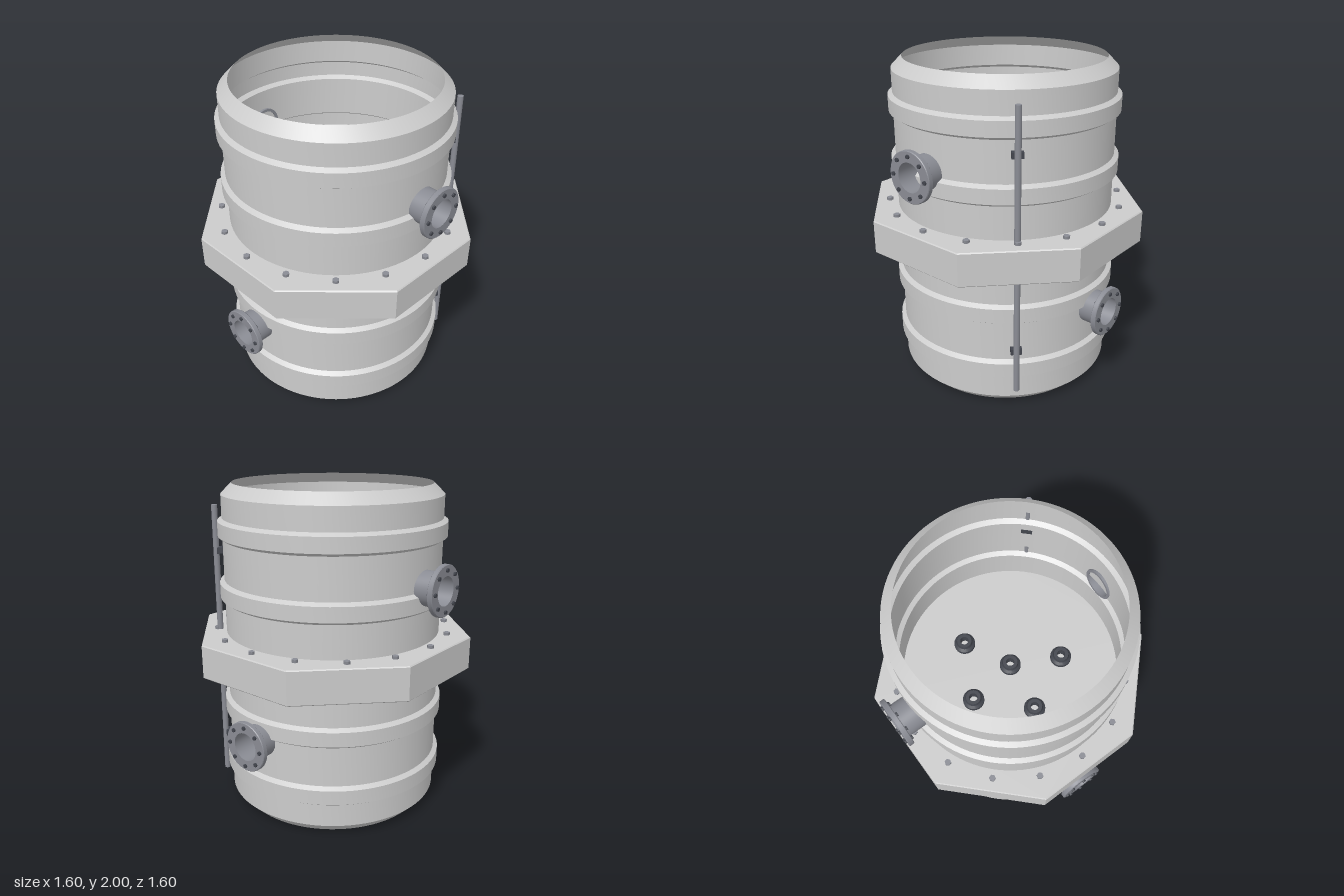
import * as THREE from 'three';
import { toCreasedNormals } from 'three/addons/utils/BufferGeometryUtils.js';

const grey = new THREE.MeshStandardMaterial({ color: 0xcccccc });
const shellGrey = new THREE.MeshStandardMaterial({ color: 0xcccccc, side: THREE.DoubleSide });
const steel = new THREE.MeshStandardMaterial({ color: 0x8a8c94 });
const dark = new THREE.MeshStandardMaterial({ color: 0x43464e });

function add(parent, name, geometry, material, x = 0, y = 0, z = 0) {
  const mesh = new THREE.Mesh(geometry, material);
  mesh.name = name;
  mesh.position.set(x, y, z);
  parent.add(mesh);
  return mesh;
}

// Revolved profile of [radius, y] pairs with sharp edges kept
function lathe(profile, segments) {
  const points = profile.map(([r, y]) => new THREE.Vector2(r, y));
  return toCreasedNormals(new THREE.LatheGeometry(points, segments), 0.5);
}

// Thin open shell with four pressed-out bands and tapered rims
function shellGeometry() {
  const R = 0.665, B = 0.692, bevel = 0.018;
  const profile = [[0.6, 0], [R, 0.065]];
  for (const y of [0.205, 0.575, 1.305, 1.675]) {
    profile.push([R, y], [B, y + bevel], [B, y + 0.125 - bevel], [R, y + 0.125]);
  }
  profile.push([R, 1.935], [0.6, 2]);
  return lathe(profile, 96);
}

// Octagonal plate lying flat, with softened edges
function collarGeometry(apothem, height) {
  const bevel = 0.006;
  const r = (apothem - bevel) / Math.cos(Math.PI / 8);
  const shape = new THREE.Shape();
  for (let i = 0; i < 8; i++) {
    const a = (i + 0.5) * Math.PI / 4;
    shape[i ? 'lineTo' : 'moveTo'](r * Math.cos(a), r * Math.sin(a));
  }
  shape.closePath();
  const geometry = new THREE.ExtrudeGeometry(shape, {
    depth: height - 2 * bevel, bevelThickness: bevel, bevelSize: bevel, bevelSegments: 1,
  });
  return geometry.translate(0, 0, bevel).rotateX(-Math.PI / 2);
}

// Flanged pipe stub pointing outward along +x
function createPort() {
  const port = new THREE.Group();
  const pipe = lathe([
    [0.102, 0.648], [0.102, 0.768], [0.146, 0.768], [0.15, 0.772], [0.15, 0.796],
    [0.146, 0.8], [0.085, 0.8], [0.085, 0.648], [0.102, 0.648],
  ], 40).rotateZ(-Math.PI / 2);
  add(port, 'flangedPipe', pipe, steel);
  const bolt = new THREE.CylinderGeometry(0.012, 0.012, 0.054, 6).rotateZ(-Math.PI / 2);
  for (let i = 0; i < 8; i++) {
    const a = i * Math.PI / 4;
    add(port, 'flangeBolt', bolt, dark, 0.784, 0.119 * Math.sin(a), 0.119 * Math.cos(a));
  }
  return port;
}

export function createModel() {
  const model = new THREE.Group();
  model.name = 'tank';

  add(model, 'shell', shellGeometry(), shellGrey);
  add(model, 'collarPlate', collarGeometry(0.798, 0.205), grey, 0, 0.9, 0);

  // Bolt ring on top of the collar
  const bolt = new THREE.CylinderGeometry(0.02, 0.02, 0.018, 6);
  for (let i = 0; i < 16; i++) {
    const a = i * Math.PI / 8;
    add(model, 'collarBolt', bolt, steel, 0.72 * Math.cos(a), 1.113, 0.72 * Math.sin(a));
  }

  // Upper and lower pairs of ports on the diagonals
  for (let i = 0; i < 4; i++) {
    const port = createPort();
    port.name = i % 2 ? 'lowerPort' : 'upperPort';
    port.position.y = i % 2 ? 0.56 : 1.45;
    port.rotation.y = -Math.PI / 4 + i * Math.PI / 2;
    model.add(port);
  }

  // Nozzles on the inner plate: one central, four on a pentagon
  const nozzle = lathe([
    [0.065, 1.1], [0.065, 1.13], [0.05, 1.145], [0.045, 1.165],
    [0.025, 1.165], [0.025, 1.1],
  ], 32);
  add(model, 'plateNozzle', nozzle, dark);
  for (let i = 1; i < 5; i++) {
    const a = i * Math.PI * 0.4;
    add(model, 'plateNozzle', nozzle, dark, 0.32 * Math.cos(a), 0, 0.32 * Math.sin(a));
  }

  // Upright rod held by two clamps
  add(model, 'rod', new THREE.CylinderGeometry(0.018, 0.018, 1.73, 16), steel, 0.705, 1.005, 0);
  for (const y of [0.4, 1.6]) {
    add(model, 'rodClamp', new THREE.BoxGeometry(0.038, 0.036, 0.066), dark, 0.681, y, 0);
  }
  return model;
}
